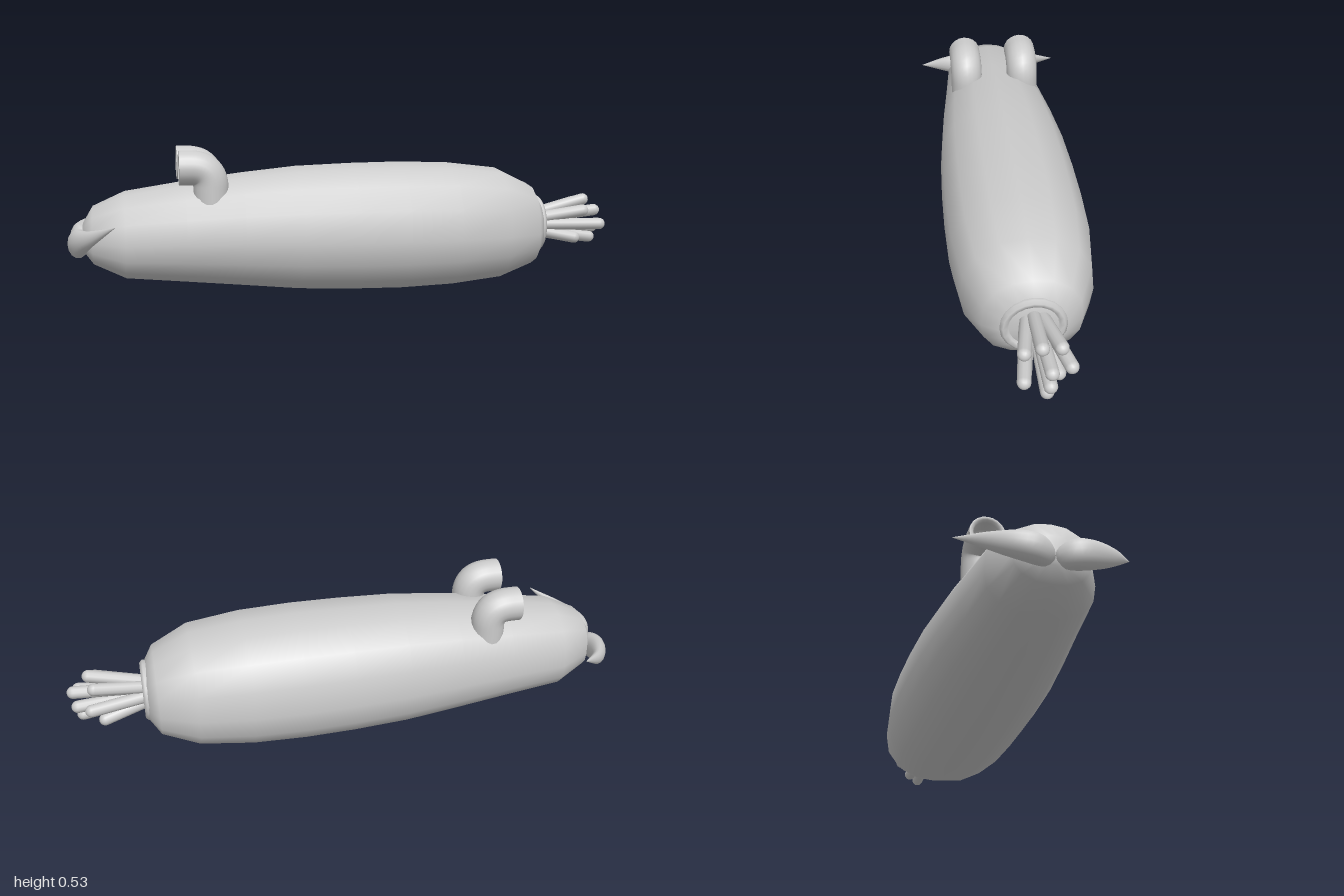
import * as THREE from 'three';

const V = (x, y, z) => new THREE.Vector3(x, y, z);

// Skin closed rings of points; each ring runs counter-clockwise seen from the last ring's end
function loft(rings, caps = true) {
  const n = rings[0].length, pos = [], idx = [];
  rings.forEach(r => r.forEach(p => pos.push(p.x, p.y, p.z)));
  for (let i = 0; i < rings.length - 1; i++)
    for (let j = 0; j < n; j++) {
      const a = i * n + j, b = i * n + (j + 1) % n;
      idx.push(a, b, a + n, b, b + n, a + n);
    }
  if (caps) [0, rings.length - 1].forEach((k, end) => {
    const c = rings[k].reduce((s, p) => s.add(p), V(0, 0, 0)).divideScalar(n);
    const ci = pos.length / 3;
    pos.push(c.x, c.y, c.z);
    for (let j = 0; j < n; j++) {
      const a = k * n + j, b = k * n + (j + 1) % n;
      if (end) idx.push(a, b, ci); else idx.push(b, a, ci);
    }
  });
  const g = new THREE.BufferGeometry();
  g.setAttribute('position', new THREE.Float32BufferAttribute(pos, 3));
  g.setIndex(idx);
  g.computeVertexNormals();
  return g;
}

// Sweep a varying radius along a curve; flat narrows the horizontal half-width
function sweep(curve, radius, steps, sides, flat = 1) {
  const rings = [];
  for (let i = 0; i <= steps; i++) {
    const t = i / steps, c = curve.getPoint(t), d = curve.getTangent(t), r = radius(t);
    const side = V(0, 1, 0).cross(d).normalize(), up = d.clone().cross(side);
    rings.push(Array.from({ length: sides }, (_, j) => {
      const a = j / sides * Math.PI * 2;
      return c.clone().addScaledVector(side, Math.cos(a) * r * flat).addScaledVector(up, Math.sin(a) * r);
    }));
  }
  return loft(rings);
}

export function createModel() {
  const group = new THREE.Group();
  const mat = new THREE.MeshStandardMaterial({ color: 0xcccccc });
  const open = new THREE.MeshStandardMaterial({ color: 0xcccccc, side: THREE.DoubleSide });
  const add = (name, geo, m = mat) => {
    const mesh = new THREE.Mesh(geo, m);
    mesh.name = name;
    group.add(mesh);
    return mesh;
  };

  // Body: half section [z, y] in unit size, from top to bottom, mirrored to 16 sides
  const half = [[0, 1], [0.41, 0.94], [0.76, 0.7], [0.96, 0.33], [1, -0.14], [0.95, -0.49], [0.76, -0.77], [0.41, -0.955], [0, -1]];
  const section = [...half.map(([z, y]) => [-z, y]), ...half.slice(1, -1).reverse()].reverse();
  // Stations: x, top, bottom, half width
  const stations = [
    [-0.955, 0.27, 0.17, 0.05], [-0.92, 0.33, 0.125, 0.12], [-0.81, 0.38, 0.073, 0.175],
    [-0.6, 0.412, 0.053, 0.198], [-0.4, 0.438, 0.034, 0.222], [-0.2, 0.458, 0.014, 0.24],
    [0, 0.465, 0.005, 0.248], [0.18, 0.467, 0.002, 0.25], [0.37, 0.461, 0.008, 0.246],
    [0.56, 0.438, 0.027, 0.222], [0.69, 0.375, 0.072, 0.165], [0.73, 0.31, 0.125, 0.1],
  ];
  add('body', loft(stations.map(([x, top, bottom, w]) =>
    section.map(([z, y]) => V(x, (top + bottom) / 2 + y * (top - bottom) / 2, -z * w)).reverse())));

  // Collar around the tail opening
  const collar = add('tailCollar', new THREE.LatheGeometry(
    [[0.1, 0.69], [0.108, 0.712], [0.11, 0.73], [0.1, 0.74], [0.086, 0.738], [0.078, 0.725], [0, 0.72]]
      .map(([r, x]) => new THREE.Vector2(r, x)), 20), open);
  collar.rotation.z = -Math.PI / 2;
  collar.position.y = 0.22;

  // Tail tentacles: tip positions x, y, z
  const tips = [
    [0.92, 0.308, 0], [0.905, 0.29, -0.062], [0.92, 0.222, -0.092], [0.9, 0.272, 0.052],
    [0.965, 0.22, 0.06], [0.87, 0.168, 0.045], [0.955, 0.16, -0.012], [0.88, 0.157, -0.06],
    [0.97, 0.198, -0.02], [0.978, 0.262, -0.022],
  ];
  tips.forEach(([x, y, z]) => {
    const root = V(0.71, 0.22 + (y - 0.22) * 0.4, z * 0.4), tip = V(x, y, z);
    const dir = tip.clone().sub(root), len = dir.length();
    const t = add('tailTentacle', new THREE.CapsuleGeometry(0.0225, len, 6, 12));
    t.position.copy(root).addScaledVector(dir, 0.5);
    t.quaternion.setFromUnitVectors(V(0, 1, 0), dir.normalize());
  });

  for (const s of [1, -1]) {
    // Elbow pipe: rises from the back and bends forward to an open mouth
    const elbow = new THREE.CurvePath();
    elbow.add(new THREE.LineCurve3(V(-0.512, 0.3, s * 0.111), V(-0.512, 0.4, s * 0.111)));
    elbow.add(new THREE.QuadraticBezierCurve3(V(-0.512, 0.4, s * 0.111), V(-0.512, 0.468, s * 0.111), V(-0.585, 0.468, s * 0.111)));
    elbow.add(new THREE.LineCurve3(V(-0.585, 0.468, s * 0.111), V(-0.622, 0.468, s * 0.111)));
    add('elbowPipe', new THREE.TubeGeometry(elbow, 24, 0.061, 20, false), open);
    // Mouth: rim and hollow inside
    const mouth = add('pipeMouth', new THREE.LatheGeometry(
      [[0.061, 0], [0.049, 0.001], [0.046, -0.012], [0.042, -0.05], [0.025, -0.065], [0, -0.07]]
        .map(([r, y]) => new THREE.Vector2(r, y)), 20), open);
    mouth.rotation.z = Math.PI / 2;
    mouth.position.set(-0.622, 0.468, s * 0.111);

    // Curved horn at the head, swelling near the root and tapering to a point
    const path = new THREE.CatmullRomCurve3([
      V(-0.945, 0.2, s * 0.005), V(-0.97, 0.209, s * 0.075), V(-0.937, 0.235, s * 0.175), V(-0.84, 0.29, s * 0.278)]);
    add('headHorn', sweep(path, t => 0.001 + 0.05 * Math.sin(Math.PI * Math.min(1, Math.pow(t * 0.97 + 0.03, 0.62))), 20, 14, 0.7));
  }
  return group;
}
